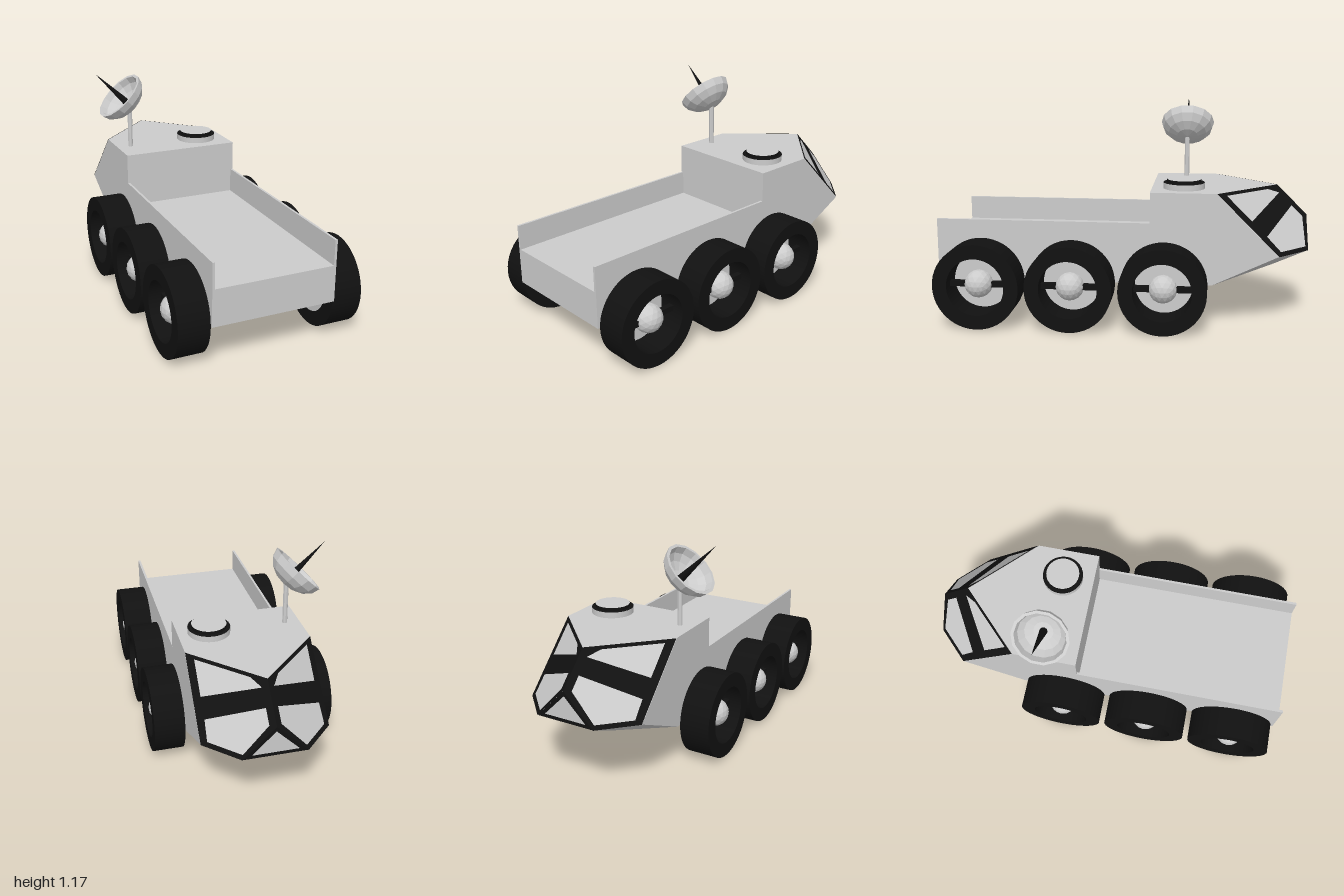
import * as THREE from 'three';
import { ConvexGeometry } from 'three/addons/geometries/ConvexGeometry.js';

const grey = new THREE.MeshStandardMaterial({ color: 0xcccccc });
const greyFlat = new THREE.MeshStandardMaterial({ color: 0xcccccc, flatShading: true });
const greyThin = new THREE.MeshStandardMaterial({ color: 0xcccccc, flatShading: true, side: THREE.DoubleSide });
const black = new THREE.MeshStandardMaterial({ color: 0x111111 });
const blackThin = new THREE.MeshStandardMaterial({ color: 0x111111, side: THREE.DoubleSide });
const white = new THREE.MeshStandardMaterial({ color: 0xffffff });

const W = 0.33; // half width of the hull

function add(parent, name, geometry, material, x = 0, y = 0, z = 0) {
  const mesh = new THREE.Mesh(geometry, material);
  mesh.name = name;
  mesh.position.set(x, y, z);
  parent.add(mesh);
  return mesh;
}

const toPoints = (list) => list.map(([x, y]) => new THREE.Vector2(x, y));

// Flat frame with window openings, drawn in x and y and laid on a plane z(x, y)
function frameGeometry(outline, holes, depthAt, side = 1) {
  const shape = new THREE.Shape(toPoints(outline));
  for (const hole of holes) shape.holes.push(new THREE.Path(toPoints(hole)));
  const geometry = new THREE.ShapeGeometry(shape);
  const p = geometry.attributes.position;
  for (let i = 0; i < p.count; i++) {
    const x = p.getX(i), y = p.getY(i);
    p.setXYZ(i, x * side, y, depthAt(x, y));
  }
  geometry.computeVertexNormals();
  return geometry;
}

function createHull() {
  const hull = new THREE.Group();
  hull.name = 'hull';

  // Cargo bed, open at the tail
  add(hull, 'cargoBed', new THREE.BoxGeometry(2 * W, 0.195, 1.157), grey, 0, 0.3325, 0.4215);
  for (const s of [-1, 1]) {
    add(hull, 'bedWall', new THREE.BoxGeometry(0.013, 0.135, 1.157), grey, s * (W - 0.0065), 0.4975, 0.4215);
  }

  // Cab with cut-off corners and a rising underside
  const corners = [[0, 0.73, -0.835], [0, 0.565, -1]].map((c) => new THREE.Vector3(...c));
  for (const s of [-1, 1]) {
    for (const [x, y, z] of [
      [W, 0.73, -0.157], [W, 0.235, -0.157], [W, 0.73, -0.505], [W, 0.235, -0.49],
      [W, 0.4, -0.835], [0.165, 0.4, -1], [0.165, 0.32, -0.82],
    ]) corners.push(new THREE.Vector3(s * x, y, z));
  }
  add(hull, 'cab', new ConvexGeometry(corners), greyFlat);

  // Black window frames: two slanted halves and the small nose window
  const outline = [[0, 0.73], [0, 0.565], [0.165, 0.4], [W, 0.4], [W, 0.73]];
  const upperWindow = [[0.295, 0.715], [0.07, 0.715], [0.03, 0.69], [0.295, 0.58]];
  const lowerWindow = [[0.295, 0.5], [0.03, 0.62], [0.03, 0.56], [0.16, 0.42], [0.3, 0.42]];
  for (const s of [-1, 1]) {
    add(hull, 'windscreenFrame',
      frameGeometry(outline, [upperWindow, lowerWindow], (x, y) => x + y - 1.569, s), blackThin);
  }
  add(hull, 'noseFrame', frameGeometry(
    [[-0.165, 0.4], [0.165, 0.4], [0, 0.565]],
    [[[-0.12, 0.418], [0.12, 0.418], [0, 0.538]]], () => -1.002), blackThin);

  // Roof hatch: the caps and rims swap colours
  add(hull, 'hatchBase', new THREE.CylinderGeometry(0.112, 0.112, 0.032, 32), [grey, black, grey], 0.165, 0.746, -0.33);
  add(hull, 'hatchLid', new THREE.CylinderGeometry(0.092, 0.092, 0.018, 32), [black, grey, black], 0.165, 0.771, -0.33);
  return hull;
}

// One wheel, its axis along x, outside towards +x
function createWheel() {
  const wheel = new THREE.Group();
  wheel.name = 'wheel';
  const h = 0.0825;
  const section = toPoints([[0.155, -h], [0.232, -h], [0.232, h], [0.155, h], [0.155, -h]]);
  // Separate bands keep the tyre edges sharp
  for (let i = 0; i < 4; i++) {
    add(wheel, 'tyre', new THREE.LatheGeometry([section[i], section[i + 1]], 48), blackThin).rotation.z = -Math.PI / 2;
  }
  add(wheel, 'wheelDisc', new THREE.CylinderGeometry(0.156, 0.156, 0.006, 32), white, -h + 0.004).rotation.z = Math.PI / 2;
  add(wheel, 'spoke', new THREE.BoxGeometry(0.03, 0.03, 0.315), black);
  add(wheel, 'hub', new THREE.IcosahedronGeometry(0.076, 2), greyFlat);
  return wheel;
}

function createAntenna() {
  const antenna = new THREE.Group();
  antenna.name = 'antenna';
  antenna.position.set(-0.25, 0.73, -0.33);
  add(antenna, 'mast', new THREE.CylinderGeometry(0.014, 0.014, 0.25, 8), greyFlat, 0, 0.125, 0);

  // Bowl with a thick rim, tilted over to the right
  const head = new THREE.Group();
  head.name = 'dishHead';
  head.position.set(-0.0625, 0.308, 0);
  head.rotation.z = Math.PI / 4;
  const profile = [];
  const steps = 4;
  for (let i = 0; i <= steps; i++) {
    const a = (i / steps) * Math.PI / 2;
    profile.push(new THREE.Vector2(0.154 * Math.sin(a), -0.11 * Math.cos(a)));
  }
  for (let i = steps; i >= 0; i--) {
    const a = (i / steps) * Math.PI / 2;
    profile.push(new THREE.Vector2(0.138 * Math.sin(a), -0.092 * Math.cos(a)));
  }
  add(head, 'dish', new THREE.LatheGeometry(profile, 14), greyThin);
  add(head, 'feedSpike', new THREE.ConeGeometry(0.022, 0.28, 8), black, 0, 0.052, 0);
  antenna.add(head);
  return antenna;
}

export function createModel() {
  const model = new THREE.Group();
  model.name = 'sixWheeledRover';
  model.add(createHull(), createAntenna());

  // Three axles, each with a mirrored pair of wheels
  for (const z of [-0.235, 0.26, 0.755]) {
    add(model, 'axle', new THREE.CylinderGeometry(0.015, 0.015, 0.8, 12), grey, 0, 0.234, z).rotation.z = Math.PI / 2;
    for (const s of [-1, 1]) {
      const wheel = createWheel();
      wheel.position.set(s * 0.4125, 0.232, z);
      if (s < 0) wheel.rotation.y = Math.PI;
      model.add(wheel);
    }
  }
  return model;
}
